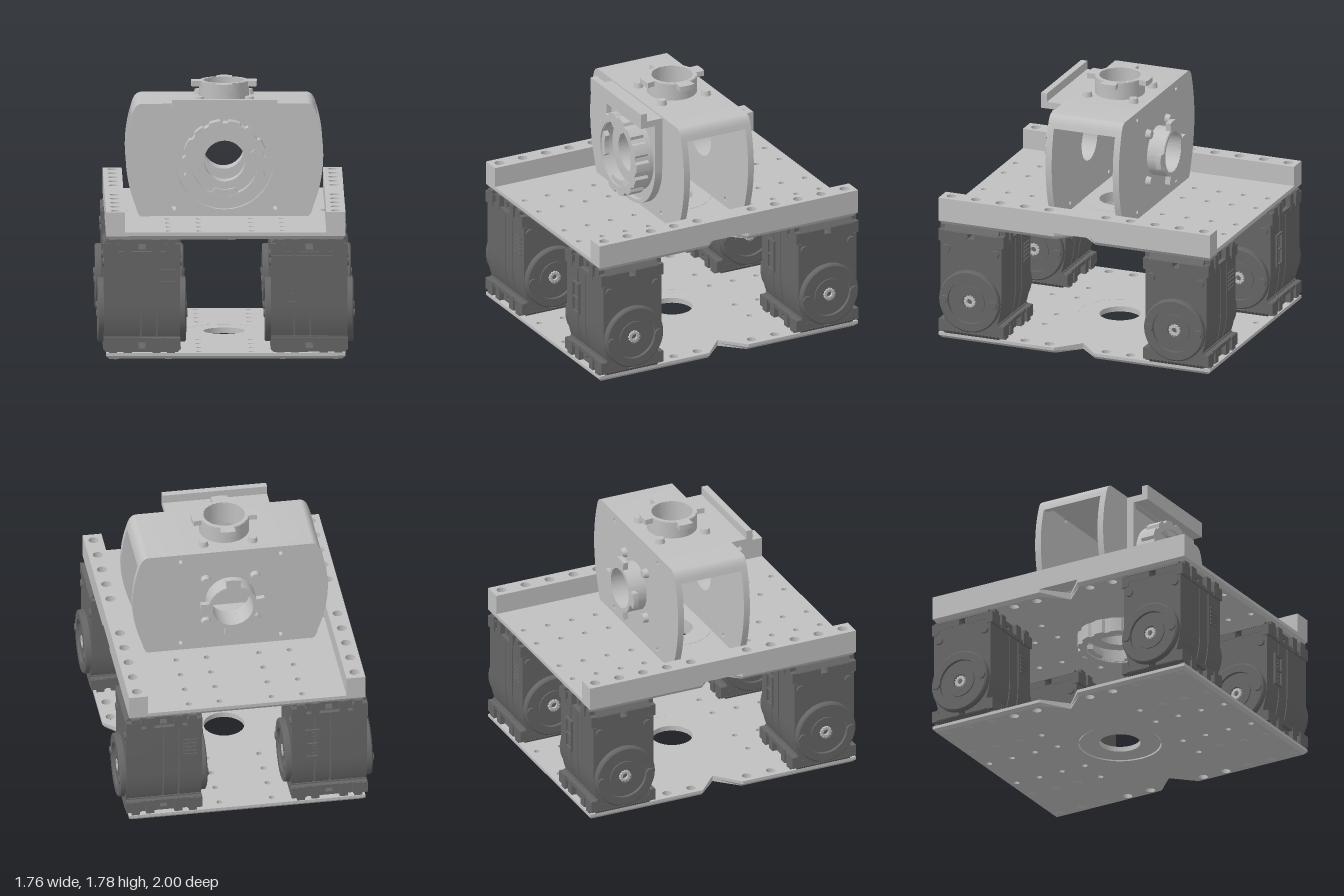
import * as THREE from 'three';
import { toCreasedNormals } from 'three/addons/utils/BufferGeometryUtils.js';

const light = new THREE.MeshStandardMaterial({ color: 0xc0c0c0 });
light.name = 'light grey';
const dark = new THREE.MeshStandardMaterial({ color: 0x666666 });
dark.name = 'dark grey';

const V = (x, y) => new THREE.Vector2(x, y);

function add(parent, name, geo, mat, x = 0, y = 0, z = 0) {
  const m = new THREE.Mesh(geo, mat);
  m.name = name;
  m.position.set(x, y, z);
  parent.add(m);
  return m;
}
// box given by its min and max on each axis
function box(parent, name, mat, x0, x1, y0, y1, z0, z1) {
  return add(parent, name, new THREE.BoxGeometry(x1 - x0, y1 - y0, z1 - z0), mat,
    (x0 + x1) / 2, (y0 + y1) / 2, (z0 + z1) / 2);
}
function extrude(shape, depth, steps = 1) {
  return new THREE.ExtrudeGeometry(shape, { depth, steps, bevelEnabled: false, curveSegments: 20 });
}
const solid = (shape, depth) => toCreasedNormals(extrude(shape, depth), 0.5);
function hole(shape, x, y, r) {
  shape.holes.push(new THREE.Path().absarc(x, y, r, 0, Math.PI * 2, true));
  return shape;
}
// closed outline sampled from a radius rule
function polar(rule, n = 120) {
  return Array.from({ length: n }, (_, i) => {
    const a = (i / n) * Math.PI * 2, r = rule(a);
    return V(r * Math.cos(a), r * Math.sin(a));
  });
}
function ring(outer, inner) {
  const s = new THREE.Shape(polar(outer));
  s.holes.push(new THREE.Path(polar(inner)));
  return s;
}

const BOLT_Z = [0.57, 0.75, 0.93];

// plate with V notches in its long sides, screw holes and a chamfered lower edge
function plate(thick, centreHole) {
  const half = [[0.815, -1], [0.815, -0.15], [0.65, 0], [0.815, 0.15], [0.815, 1]];
  const s = new THREE.Shape([...half.map(p => V(p[0], p[1])), ...half.map(p => V(-p[0], -p[1]))]);
  hole(s, 0, 0, centreHole);
  for (const sx of [-1, 1]) for (const sz of [-1, 1]) {
    for (const z of [0.39, ...BOLT_Z]) for (const x of [0.18, 0.39]) hole(s, sx * x, sz * z, 0.02);
    for (const z of [0.21, 0.39]) hole(s, sx * 0.75, sz * z, 0.032);
  }
  const g = extrude(s, thick, 2).rotateX(-Math.PI / 2);
  const p = g.attributes.position;
  for (let i = 0; i < p.count; i++) {
    if (p.getY(i) > 0.005) continue;
    const x = p.getX(i), z = p.getZ(i);
    if (Math.abs(x) > 0.81) p.setX(i, x - Math.sign(x) * 0.02);
    if (Math.abs(z) > 0.99) p.setZ(i, z - Math.sign(z) * 0.02);
  }
  g.computeVertexNormals();
  return g;
}

// female coupling along +z: seat, ribbed ring, inner teeth
function socket() {
  const g = new THREE.Group();
  g.name = 'socketCoupling';
  const rib = a => (Math.cos(a * 14) > -0.45 ? 0.29 : 0.272);
  const teeth = a => (Math.cos(a * 4) > 0 ? 0.185 : 0.225);
  add(g, 'socketSeat', solid(ring(() => 0.27, () => 0.14), 0.066), light);
  add(g, 'socketRing', solid(ring(rib, () => 0.228), 0.1), light, 0, 0, 0.06);
  add(g, 'socketTeeth', solid(ring(() => 0.23, teeth), 0.035), light, 0, 0, 0.115);
  return g;
}

// male coupling along +z: tube, four lugs, four screws
function spigot() {
  const g = new THREE.Group();
  g.name = 'spigotCoupling';
  add(g, 'spigotTube', solid(ring(() => 0.17, () => 0.14), 0.12), light);
  const lug = a => (Math.cos(a * 4) > 0.5 ? 0.225 : 0.165);
  add(g, 'spigotLugs', solid(ring(lug, () => 0.141), 0.037), light, 0, 0, 0.086);
  for (const x of [-0.17, 0.17]) for (const y of [-0.17, 0.17])
    add(g, 'spigotScrew', new THREE.CylinderGeometry(0.028, 0.035, 0.035, 16).rotateX(Math.PI / 2), light, x, y, 0.0175);
  return g;
}

// servo centred on its own x and z, cable socket on +z, vents on -z
function servo() {
  const g = new THREE.Group();
  g.name = 'servo';
  // case in three slices with grooves between
  const prof = new THREE.Shape();
  prof.moveTo(-0.225, 0.715).lineTo(-0.225, 0.38);
  prof.quadraticCurveTo(-0.225, 0.25, -0.19, 0.155);
  prof.lineTo(0.19, 0.155).quadraticCurveTo(0.225, 0.25, 0.225, 0.38).lineTo(0.225, 0.715);
  for (const [a, b] of [[-0.26, -0.107], [-0.097, 0.002], [0.012, 0.26]])
    add(g, 'servoCase', solid(prof, b - a).rotateY(Math.PI / 2), dark, a, 0, 0);
  box(g, 'servoCore', dark, -0.2, 0.2, 0.16, 0.71, -0.18, 0.18);

  // mounting brackets at top and bottom, pierced both ways
  for (const s of [-1, 1]) {
    const b = new THREE.Group();
    b.name = s > 0 ? 'topBracket' : 'bottomBracket';
    const Y = y => 0.435 + s * (y - 0.435);
    const slab = (n, x0, x1, y0, y1, z0, z1) =>
      box(b, n, dark, x0, x1, Math.min(Y(y0), Y(y1)), Math.max(Y(y0), Y(y1)), z0, z1);
    slab('bracketBase', -0.26, 0.26, 0.71, 0.755, -0.2, 0.2);
    const top = new THREE.Shape([V(-0.265, 0.795), V(0.265, 0.795), V(0.235, 0.83), V(-0.235, 0.83)]
      .map(p => V(p.x, Y(p.y))));
    add(b, 'bracketTop', solid(top, 0.4), dark, 0, 0, -0.2);
    for (const sx of [-1, 1]) for (const sz of [-1, 1]) {
      const span = (k, lo, hi) => (k > 0 ? [lo, hi] : [-hi, -lo]);
      slab('bracketPillar', ...span(sx, 0.025, 0.262), 0.75, 0.8, ...span(sz, 0.025, 0.2));
      slab('bracketTooth', ...span(sx, 0.16, 0.262), 0.72, 0.8, ...span(sz, 0.19, 0.24));
      slab('bracketTooth', ...span(sx, 0.17, 0.225), 0.79, 0.828, ...span(sz, 0.19, 0.24));
      slab('bracketTooth', ...span(sx, 0.07, 0.125), 0.72, 0.828, ...span(sz, 0.19, 0.235));
    }
    slab('bracketLip', -0.26, 0.26, 0.718, 0.745, -0.232, 0.232);
    g.add(b);
  }

  // output horns on both ends
  const horn = [[0.22, -0.01], [0.22, 0.034], [0.21, 0.042], [0.155, 0.042], [0.155, 0.02], [0.11, 0.02],
    [0.11, 0.03], [0.05, 0.03], [0.05, 0.015], [0, 0.015]].map(p => V(p[0], p[1]));
  for (const s of [-1, 1]) {
    const turn = -s * Math.PI / 2;
    add(g, 'servoHorn', toCreasedNormals(new THREE.LatheGeometry(horn, 48), 0.5), dark, s * 0.26, 0.315, 0).rotation.z = turn;
    add(g, 'hornHub', solid(ring(a => (Math.cos(a * 12) > 0 ? 0.042 : 0.036), () => 0.02), 0.03),
      light, s * 0.262, 0.315, 0).rotation.y = s * Math.PI / 2;
    for (const z of [-0.18, 0.18]) for (const y of [0.67, 0.315])
      add(g, 'caseScrew', new THREE.CylinderGeometry(0.026, 0.03, 0.012, 16), dark,
        s * (y > 0.5 ? 0.264 : 0.305), y, z).rotation.z = turn;
  }

  // cable socket
  const port = new THREE.Shape([V(-0.17, 0.385), V(-0.07, 0.385), V(-0.07, 0.615), V(-0.17, 0.615)]);
  for (const y of [0.4, 0.505]) {
    const h = [V(-0.155, y), V(-0.085, y), V(-0.085, y + 0.095), V(-0.155, y + 0.095)];
    port.holes.push(new THREE.Path(h));
    for (let i = 0; i < 3; i++) box(g, 'socketPin', dark, -0.125, -0.105, y + 0.015 + i * 0.027, y + 0.027 + i * 0.027, 0.22, 0.23);
  }
  add(g, 'cableSocket', solid(port, 0.016), dark, 0, 0, 0.222);
  // vent ribs
  for (let i = 0; i < 5; i++) box(g, 'ventRib', dark, -0.225, -0.13, 0.495 + i * 0.029, 0.509 + i * 0.029, -0.232, -0.22);
  return g;
}

// face outline of the turret with bowed sides
function turretFace() {
  const s = new THREE.Shape();
  s.moveTo(-0.56, 0.875).lineTo(0.56, 0.875).quadraticCurveTo(0.59, 0.88, 0.605, 0.95);
  s.quadraticCurveTo(0.73, 1.27, 0.625, 1.59).quadraticCurveTo(0.605, 1.655, 0.56, 1.655);
  s.lineTo(-0.56, 1.655).quadraticCurveTo(-0.605, 1.655, -0.625, 1.59);
  s.quadraticCurveTo(-0.73, 1.27, -0.605, 0.95).quadraticCurveTo(-0.59, 0.88, -0.56, 0.875);
  for (const x of [-0.345, 0.345]) for (const y of [0.935, 1.6]) hole(s, x, y, 0.015);
  return hole(s, 0, 1.27, 0.14);
}

// square-topped, round-bottomed outline around the front coupling
function uPath(Type, r, top) {
  return new Type().moveTo(r, top).lineTo(-r, top).lineTo(-r, 1.27).absarc(0, 1.27, r, Math.PI, Math.PI * 2, false).lineTo(r, top);
}

function turret() {
  const g = new THREE.Group();
  g.name = 'turret';
  add(g, 'frontPanel', solid(turretFace(), 0.045), light, 0, 0, 0.225);
  add(g, 'backPanel', solid(turretFace(), 0.045), light, 0, 0, -0.27);

  // roof shell with rounded shoulders and a hole
  const rim = new THREE.Shape();
  rim.moveTo(0.632, 1.565).lineTo(0.625, 1.59).quadraticCurveTo(0.605, 1.655, 0.56, 1.655);
  rim.lineTo(0.25, 1.655).lineTo(0.25, 1.61).lineTo(0.54, 1.61).quadraticCurveTo(0.58, 1.605, 0.59, 1.565);
  const side = solid(rim, 0.46);
  add(g, 'roofSide', side, light, 0, 0, -0.23);
  add(g, 'roofSide', side, light, 0, 0, 0.23).rotation.y = Math.PI;
  const mid = hole(new THREE.Shape([V(-0.25, -0.23), V(0.25, -0.23), V(0.25, 0.23), V(-0.25, 0.23)]), 0, 0, 0.14);
  add(g, 'roofCentre', solid(mid, 0.045).rotateX(-Math.PI / 2), light, 0, 1.61, 0);

  // couplings on top, back and front
  const top = spigot();
  top.position.y = 1.655;
  top.rotation.x = -Math.PI / 2;
  const back = spigot();
  back.position.set(0, 1.27, -0.27);
  back.rotation.y = Math.PI;
  const front = socket();
  front.position.set(0, 1.27, 0.272);
  g.add(top, back, front);

  // shield around the front coupling
  add(g, 'shieldBack', solid(hole(uPath(THREE.Shape, 0.355, 1.62), 0, 1.27, 0.14), 0.02), light, 0, 0, 0.268);
  const wall = uPath(THREE.Shape, 0.36, 1.62);
  wall.holes.push(uPath(THREE.Path, 0.335, 1.595));
  add(g, 'shieldWall', solid(wall, 0.055), light, 0, 0, 0.27);
  box(g, 'shieldLedge', light, -0.36, 0.36, 1.598, 1.645, 0.265, 0.43);
  box(g, 'shieldLip', light, -0.36, 0.36, 1.598, 1.705, 0.39, 0.435);
  return g;
}

export function createModel() {
  const model = new THREE.Group();
  model.name = 'robotBase';

  // lower deck with inset ring and bolt heads
  add(model, 'lowerPlate', plate(0.042, 0.285), light, 0, 0.008, 0);
  add(model, 'lowerInsetRing', solid(ring(() => 0.275, () => 0.14), 0.036).rotateX(-Math.PI / 2), light, 0, 0.013, 0);
  add(model, 'lowerRingBacking', solid(ring(() => 0.29, () => 0.14), 0.012).rotateX(-Math.PI / 2), light, 0, 0.037, 0);
  for (const sx of [-1, 1]) for (const sz of [-1, 1]) for (const x of [0.39, 0.75]) for (const z of BOLT_Z)
    add(model, 'lowerBolt', new THREE.CylinderGeometry(0.032, 0.022, 0.01, 14), light, sx * x, 0.005, sz * z);

  // upper deck with rails
  add(model, 'upperPlate', plate(0.05, 0.14), light, 0, 0.83, 0);
  for (const s of [-1, 1]) {
    const rail = new THREE.Shape([V(-0.065, -1), V(0.065, -1), V(0.065, 1), V(-0.065, 1)]);
    for (const sz of [-1, 1]) for (const z of [0.21, 0.39, ...BOLT_Z]) hole(rail, 0, sz * z, 0.034);
    add(model, 'sideRail', solid(rail, 0.141).rotateX(-Math.PI / 2), light, s * 0.75, 0.879, 0);
    for (const sz of [-1, 1]) for (const z of BOLT_Z)
      add(model, 'railBolt', new THREE.CylinderGeometry(0.027, 0.027, 0.08, 14), dark, s * 0.75, 0.92, sz * z);
  }
  const under = socket();
  under.position.y = 0.882;
  under.rotation.x = Math.PI / 2;
  model.add(under);

  // four corner servos, the right-hand pair turned about
  for (const sx of [-1, 1]) for (const sz of [-1, 1]) {
    const m = servo();
    m.position.set(sx * 0.57, 0, sz * 0.755);
    if (sx < 0) m.rotation.y = Math.PI;
    model.add(m);
  }
  model.add(turret());
  return model;
}
